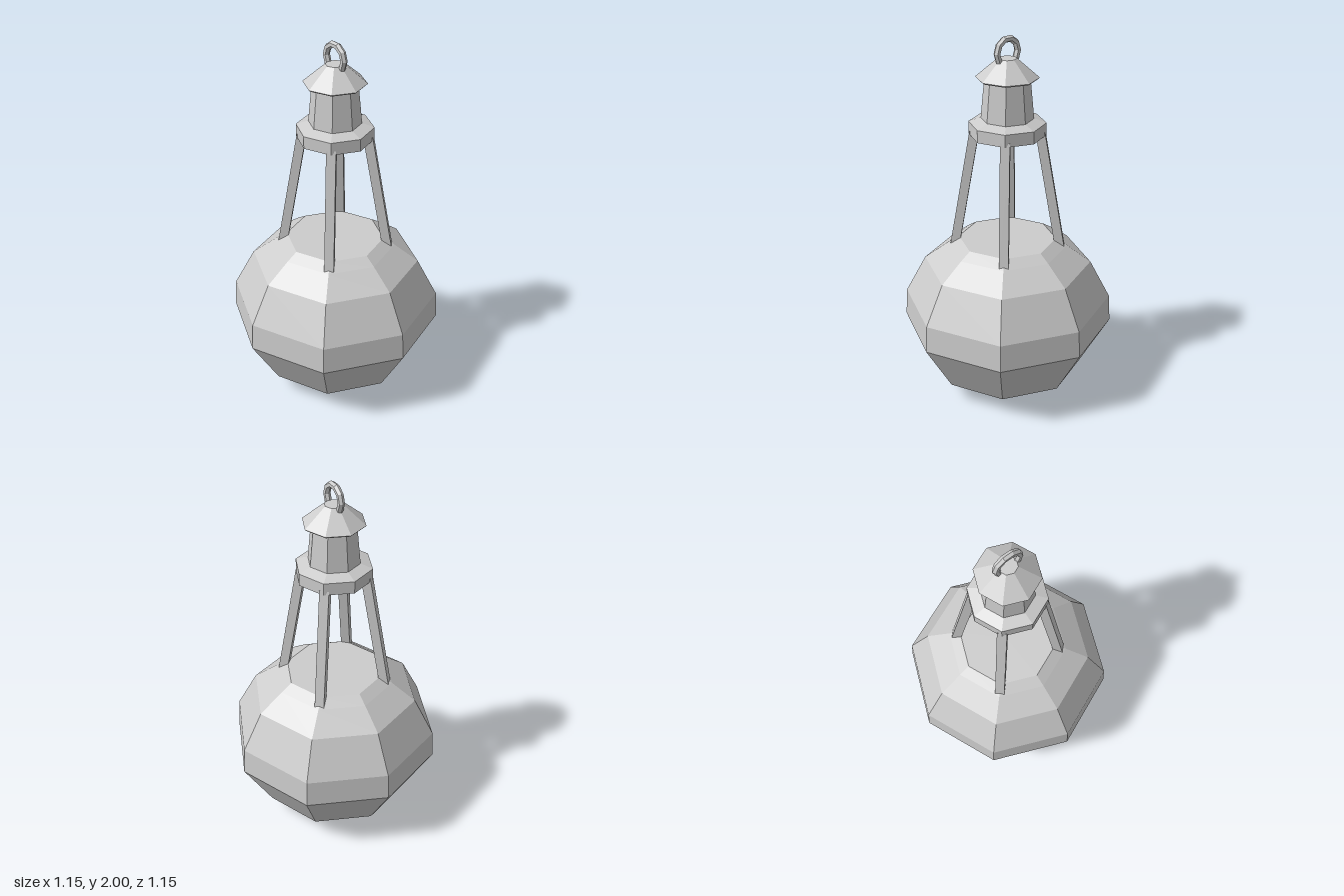
import * as THREE from 'three';

export function createModel() {
  const model = new THREE.Group();
  model.name = 'buoy';
  const grey = new THREE.MeshStandardMaterial({ color: 0xcccccc, flatShading: true });
  grey.name = 'light grey';

  const add = (name, geometry) => {
    const mesh = new THREE.Mesh(geometry, grey);
    mesh.name = name;
    model.add(mesh);
    return mesh;
  };
  // Eight-sided turned part from [radius, height] points, bottom to top
  const turned = (name, points) =>
    add(name, new THREE.LatheGeometry(points.map(([r, y]) => new THREE.Vector2(r, y)), 8));

  // Float body
  turned('floatBody', [
    [0, 0], [0.245, 0], [0.41, 0.11], [0.574, 0.39], [0.565, 0.54],
    [0.455, 0.75], [0.325, 0.846], [0.265, 0.885], [0, 0.885],
  ]);

  // Four legs leaning inwards on the diagonals
  const footY = 0.85, topY = 1.5;
  for (let i = 0; i < 4; i++) {
    const geometry = new THREE.BoxGeometry(0.05, topY - footY, 0.05);
    const p = geometry.attributes.position;
    for (let v = 0; v < p.count; v++) {
      const top = p.getY(v) > 0;
      p.setX(v, p.getX(v) + (top ? 0.171 : 0.284));
    }
    geometry.translate(0, (topY + footY) / 2, 0);
    geometry.rotateY(Math.PI / 4 + (i * Math.PI) / 2);
    add('leg' + (i + 1), geometry);
  }

  // Platform with a slightly sloping deck
  turned('platform', [[0, 1.48], [0.203, 1.48], [0.203, 1.547], [0.135, 1.57], [0, 1.57]]);

  // Lantern housing
  turned('lantern', [[0.139, 1.562], [0.118, 1.785]]);

  // Roof
  turned('roof', [[0, 1.779], [0.157, 1.779], [0.165, 1.787], [0.05, 1.885], [0, 1.885]]);

  // Lifting ring
  add('liftingRing', new THREE.TorusGeometry(0.069, 0.018, 6, 10)).position.y = 1.917;

  return model;
}
